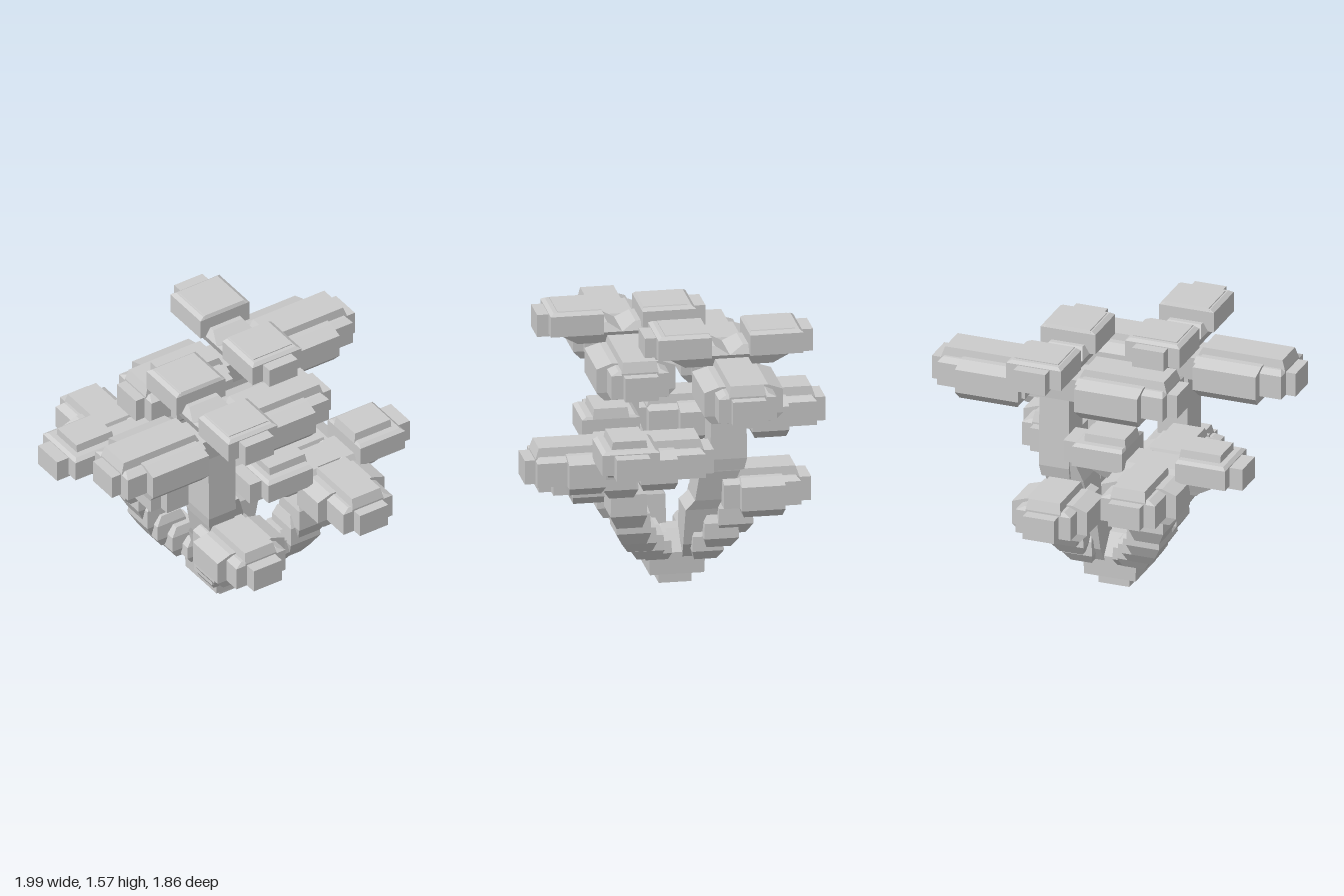
import * as THREE from 'three';

const mat = new THREE.MeshStandardMaterial({ color: 0xcccccc, flatShading: true });

// Loft through rectangles [y, x0, x1, z0, z1], capped at both ends
function stack(name, layers) {
  const pos = [], idx = [];
  for (const [y, x0, x1, z0, z1] of layers) {
    pos.push(x0, y, z0, x0, y, z1, x1, y, z1, x1, y, z0);
  }
  for (let l = 0; l < layers.length - 1; l++) {
    for (let i = 0; i < 4; i++) {
      const a = l * 4 + i, b = l * 4 + (i + 1) % 4;
      idx.push(a, b, b + 4, a, b + 4, a + 4);
    }
  }
  const t = (layers.length - 1) * 4;
  idx.push(t, t + 1, t + 2, t, t + 2, t + 3, 0, 2, 1, 0, 3, 2);
  const indexed = new THREE.BufferGeometry();
  indexed.setAttribute('position', new THREE.Float32BufferAttribute(pos, 3));
  indexed.setIndex(idx);
  const geo = indexed.toNonIndexed();
  geo.computeVertexNormals();
  const mesh = new THREE.Mesh(geo, mat);
  mesh.name = name;
  return mesh;
}

// Tapered knuckle centred on (x, z), its ends shifted towards the middle of the tree
function knuckle(name, x, z, y0, y1, r) {
  const at = (y, h, s) => {
    const cx = x - s * Math.sign(x), cz = z - s * Math.sign(z);
    return [y, cx - h, cx + h, cz - h, cz + h];
  };
  const d = y1 - y0;
  return stack(name, [at(y0, r * 0.7, 0.01), at(y0 + d * 0.3, r, 0), at(y0 + d * 0.75, r * 0.95, 0), at(y1, r * 0.65, 0.01)]);
}

// Section running along local x, symmetric in z
const sec = (y, x0, x1, h) => [y, x0, x1, -h, h];

// Wide foliage pad along local x: side lobes from lobe0 to lobe1, body from start to mid, then a tip
function longPad(start, lobe0, lobe1, mid, tip) {
  const g = new THREE.Group();
  g.name = 'longFoliagePad';
  g.add(
    stack('padLobes', [sec(-0.12, lobe0 + 0.02, lobe1 - 0.01, 0.18), sec(-0.07, lobe0, lobe1, 0.225),
      sec(0.07, lobe0, lobe1, 0.225), sec(0.1, lobe0 + 0.01, lobe1, 0.14)]),
    stack('padRidge', [sec(-0.07, start, mid, 0.105), sec(0.08, start, mid, 0.105), sec(0.14, lobe0 + 0.01, mid - 0.02, 0.095)]),
    stack('padBody', [sec(-0.07, start, mid, 0.165), sec(0.07, start, mid, 0.165), sec(0.09, start, mid - 0.02, 0.12)]),
    stack('padTip', [sec(-0.07, start, tip, 0.095), sec(0.07, start, tip, 0.095)]),
    stack('padNeck', [sec(-0.07, 0, start + 0.02, 0.1), sec(0.07, 0, start + 0.02, 0.11)]));
  return g;
}

// Narrow foliage pad along local x with a sloping keel that meets the trunk
function shortPad(start, body, tip, top, crownHalf) {
  const g = new THREE.Group();
  g.name = 'shortFoliagePad';
  const end = body + (tip - body) * 0.4;
  g.add(
    stack('padBody', [sec(-0.05, start, end, 0.165), sec(0.07, start, end, 0.165), sec(0.085, start + 0.01, end - 0.02, 0.14)]),
    stack('padCrown', [sec(0, start, body, crownHalf), sec(0.07, start, body, crownHalf), sec(top, start + 0.01, body, crownHalf - 0.01)]),
    stack('padTip', [sec(-0.065, start, tip, 0.095), sec(0.065, start, tip, 0.095)]),
    stack('padKeel', [sec(-0.12, 0, body - 0.12, 0.1), sec(-0.05, 0, body - 0.01, 0.13), sec(0, 0.08, body - 0.01, 0.1)]));
  return g;
}

function place(parent, part, x, y, z, turn) {
  part.position.set(x, y, z);
  part.rotation.y = turn * Math.PI / 2;
  parent.add(part);
}

function makeHalf() {
  const g = new THREE.Group();
  g.name = 'treeHalf';

  // Tall limb and its straight trunk
  g.add(stack('tallLimb', [
    [0.14, -0.14, -0.03, 0.03, 0.14], [0.26, -0.21, -0.035, 0.025, 0.21],
    [0.48, -0.26, -0.045, 0.03, 0.25], [0.54, -0.28, -0.075, 0.08, 0.27],
    [0.72, -0.32, -0.09, 0.1, 0.33], [0.86, -0.33, -0.14, 0.15, 0.36]]));
  g.add(stack('tallTrunk', [
    [0.73, -0.335, -0.165, 0.15, 0.35], [0.8, -0.345, -0.165, 0.155, 0.365],
    [1.4, -0.345, -0.165, 0.165, 0.355]]));
  const tallSteps = [[-0.16, 0.16, 0.17, 0.36, 0.09], [-0.19, 0.23, 0.25, 0.45, 0.1], [-0.2, 0.31, 0.33, 0.54, 0.1]];
  for (const step of tallSteps) g.add(knuckle('tallLimbKnuckle', ...step));

  // Upper canopy: long pads along x, raised short pads along z
  for (const turn of [0, 2]) place(g, longPad(0.15, 0.17, 0.55, 0.68, 0.74), -0.255, 1.29, 0.26, turn);
  for (const turn of [1, 3]) place(g, shortPad(0.11, 0.37, 0.48, 0.09, 0.14), -0.255, 1.48, 0.26, turn);

  // Single low pad on the tall limb
  place(g, longPad(-0.03, 0.06, 0.31, 0.41, 0.48), -0.2, 0.58, 0.26, 3);

  // Short limb climbing outward in knuckles
  const steps = [[0.13, 0.17, 0.33, 0.09], [0.19, 0.2, 0.4, 0.095], [0.25, 0.27, 0.47, 0.1],
    [0.29, 0.33, 0.58, 0.1], [0.325, 0.44, 0.72, 0.105], [0.38, 0.64, 0.84, 0.1]];
  for (const [c, y0, y1, r] of steps) g.add(knuckle('shortLimbKnuckle', c, c, y0, y1, r));
  g.add(stack('shortTrunk', [[0.7, 0.29, 0.48, 0.29, 0.48], [0.97, 0.3, 0.48, 0.3, 0.48]]));

  // Lower canopy: long pads along z, raised short pads along x
  for (const turn of [1, 3]) place(g, longPad(0.09, 0.1, 0.31, 0.48, 0.54), 0.39, 0.84, 0.39, turn);
  for (const turn of [0, 2]) place(g, shortPad(0.16, 0.41, 0.54, 0.13, 0.105), 0.39, 0.97, 0.39, turn);
  return g;
}

export function createModel() {
  const model = new THREE.Group();
  model.name = 'blockyTree';

  // Root block
  const sq = (y, h) => [y, -h, h, -h, h];
  model.add(stack('rootFoot', [sq(0, 0.093), sq(0.1, 0.093)]));
  model.add(stack('rootBlock', [sq(0.07, 0.155), sq(0.2, 0.16), sq(0.31, 0.06)]));

  // Two halves, one turned half a circle
  const a = makeHalf(), b = makeHalf();
  b.rotation.y = Math.PI;
  model.add(a, b);
  return model;
}
